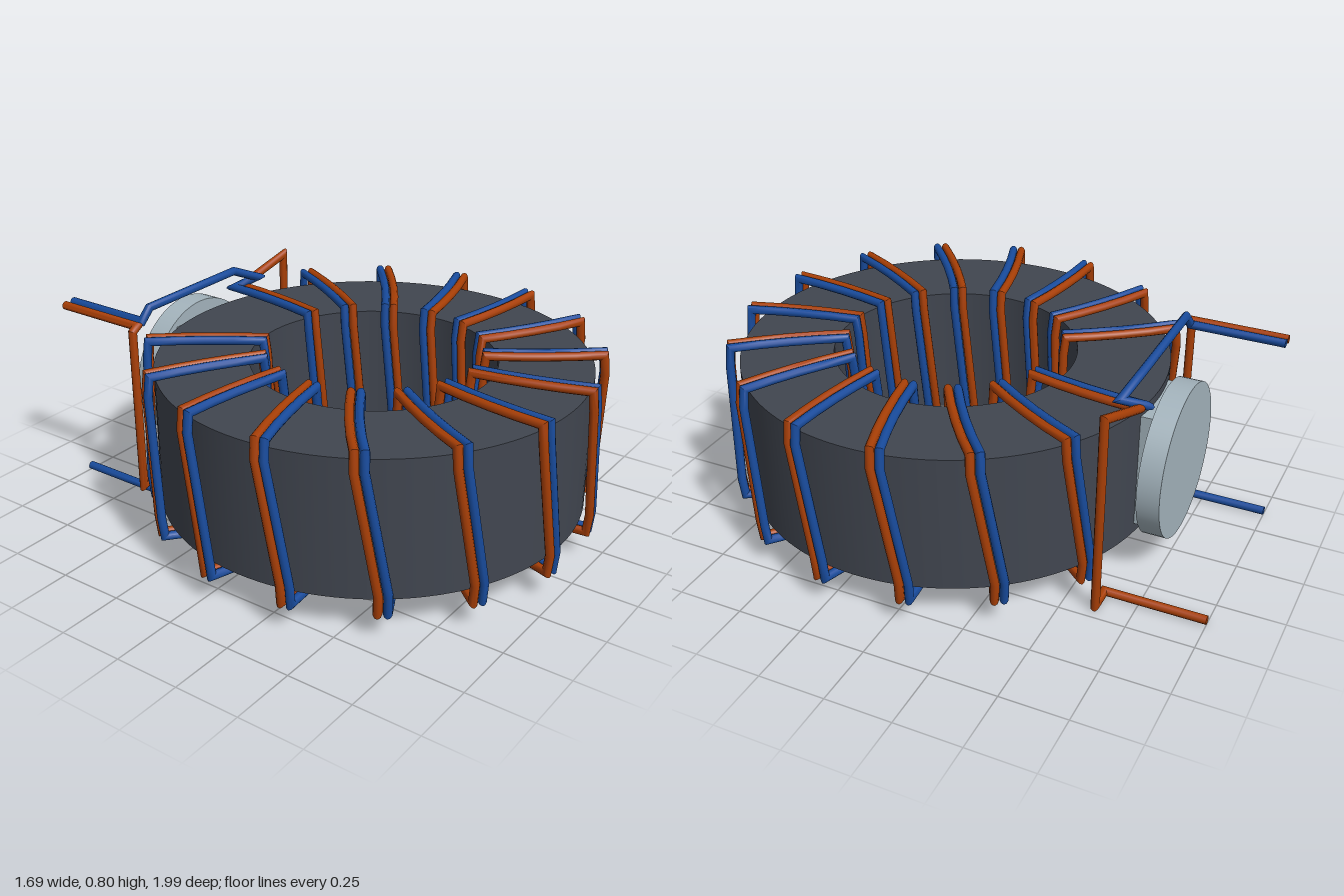
import * as THREE from 'three';
import { toCreasedNormals } from 'three/addons/utils/BufferGeometryUtils.js';

const CZ = 0.145;           // ring centre on z
const R_WIRE = 0.0165;
const R_OUT = 0.83, R_IN = 0.41, Y_TOP = 0.7, Y_BOT = 0.108;
const BULGE = 0.008;        // how far the upright legs stand off the corners
const STEP = 22.5;          // degrees between turns

// Round wire swept along a polyline with mitred corners
function wireGeometry(points, radius, sides = 10) {
  const n = points.length, pos = [], idx = [];
  const dirs = points.slice(1).map((p, i) => p.clone().sub(points[i]).normalize());
  const u = new THREE.Vector3(0, 1, 0).cross(dirs[0]).normalize();
  const v = dirs[0].clone().cross(u);
  let ring = [];
  for (let j = 0; j < sides; j++) {
    const a = (j / sides) * Math.PI * 2;
    ring.push(u.clone().multiplyScalar(Math.cos(a) * radius).addScaledVector(v, Math.sin(a) * radius));
  }
  for (let i = 0; i < n; i++) {
    const din = dirs[Math.max(i - 1, 0)], dout = dirs[Math.min(i, n - 2)];
    const mitre = din.clone().add(dout).normalize();
    ring = ring.map((o) => {
      const m = o.clone().addScaledVector(din, -o.dot(mitre) / din.dot(mitre));
      pos.push(points[i].x + m.x, points[i].y + m.y, points[i].z + m.z);
      return m.addScaledVector(dout, -m.dot(dout));
    });
  }
  for (let i = 0; i < n - 1; i++) {
    for (let j = 0; j < sides; j++) {
      const k = (j + 1) % sides, a = i * sides, b = a + sides;
      idx.push(a + j, a + k, b + j, a + k, b + k, b + j);
    }
  }
  // end caps
  const last = (n - 1) * sides;
  for (let j = 1; j < sides - 1; j++) idx.push(0, j + 1, j, last, last + j, last + j + 1);
  const geo = new THREE.BufferGeometry();
  geo.setAttribute('position', new THREE.Float32BufferAttribute(pos, 3));
  geo.setIndex(idx);
  return toCreasedNormals(geo, 0.8);
}

// Point around the ring: angle in degrees from the front, shifted sideways
function ringPoint(deg, r, y, side) {
  const a = THREE.MathUtils.degToRad(deg), s = side * 0.0172;
  return new THREE.Vector3(
    r * Math.sin(a) + s * Math.cos(a), y, CZ + r * Math.cos(a) - s * Math.sin(a));
}

// All turns of one wire: bottom inwards, up the hole, top outwards, down outside
function windingPoints(side) {
  const pts = [];
  const radial = (from, to, r0, r1, y) => {
    for (let i = 0; i <= 4; i++) {
      const t = i / 4;
      pts.push(ringPoint(from + (to - from) * t, r0 + (r1 - r0) * t, y, side));
    }
  };
  for (let k = -7; k <= 7; k++) {
    const a = k * STEP;
    radial(a - 8.5, a - 3, R_OUT, R_IN, Y_BOT);
    pts.push(ringPoint(a - 3, R_IN - BULGE, 0.18, side), ringPoint(a + 3, R_IN - BULGE, 0.63, side));
    radial(a + 3, a + 8.5, R_IN, R_OUT, Y_TOP);
    if (k < 7) {
      pts.push(ringPoint(a + 8.5, R_OUT + BULGE, 0.63, side),
        ringPoint(a + STEP - 8.5, R_OUT + BULGE, 0.18, side));
    }
  }
  return pts;
}

const vec = (list) => list.map((p) => new THREE.Vector3(...p));

export function createModel() {
  const model = new THREE.Group();
  const mat = (name, color) => {
    const m = new THREE.MeshStandardMaterial({ color });
    m.name = name;
    return m;
  };
  const ferrite = mat('dark ferrite', 0x414650);
  const blue = mat('blue enamel', 0x184b9c);
  const copper = mat('copper enamel', 0xa83f06);
  const steel = mat('light grey', 0xa4b4bd);
  const add = (name, geo, material) => {
    const mesh = new THREE.Mesh(geo, material);
    mesh.name = name;
    model.add(mesh);
  };

  // Ring core
  const shape = new THREE.Shape().absarc(0, 0, 0.8, 0, Math.PI * 2, false);
  shape.holes.push(new THREE.Path().absarc(0, 0, 0.455, 0, Math.PI * 2, true));
  const core = new THREE.ExtrudeGeometry(shape, { depth: 0.52, bevelEnabled: false, curveSegments: 64 });
  core.rotateX(-Math.PI / 2).translate(0, 0.14, CZ);
  add('core', toCreasedNormals(core, 0.5), ferrite);

  // Blue wire with its two leads
  add('blueWinding', wireGeometry([
    ...vec([[-0.37, 0.018, -1], [-0.37, 0.018, -0.63]]),
    ...windingPoints(1),
    ...vec([[0.25, 0.74, -0.6], [0.14, 0.79, -0.63], [-0.35, 0.79, -0.63],
      [-0.385, 0.743, -0.64], [-0.385, 0.743, -1]]),
  ], R_WIRE), blue);

  // Copper wire with its two leads
  add('copperWinding', wireGeometry([
    ...vec([[-0.428, 0.74, -1], [-0.428, 0.74, -0.625], [-0.452, 0.725, -0.625], [-0.452, 0.08, -0.625]]),
    ...windingPoints(-1),
    ...vec([[0.452, 0.775, -0.62], [0.452, 0.018, -0.62],
      [0.363, 0.018, -0.62], [0.363, 0.018, -1]]),
  ], R_WIRE), copper);

  // Round pad on the back with its neck
  const pad = new THREE.CylinderGeometry(0.29, 0.29, 0.085, 64);
  pad.rotateX(Math.PI / 2).translate(0, 0.403, -0.7325);
  add('backPad', pad, steel);
  const neck = new THREE.BoxGeometry(0.29, 0.45, 0.06);
  neck.translate(0, 0.403, -0.665);
  add('padNeck', neck, steel);

  return model;
}
